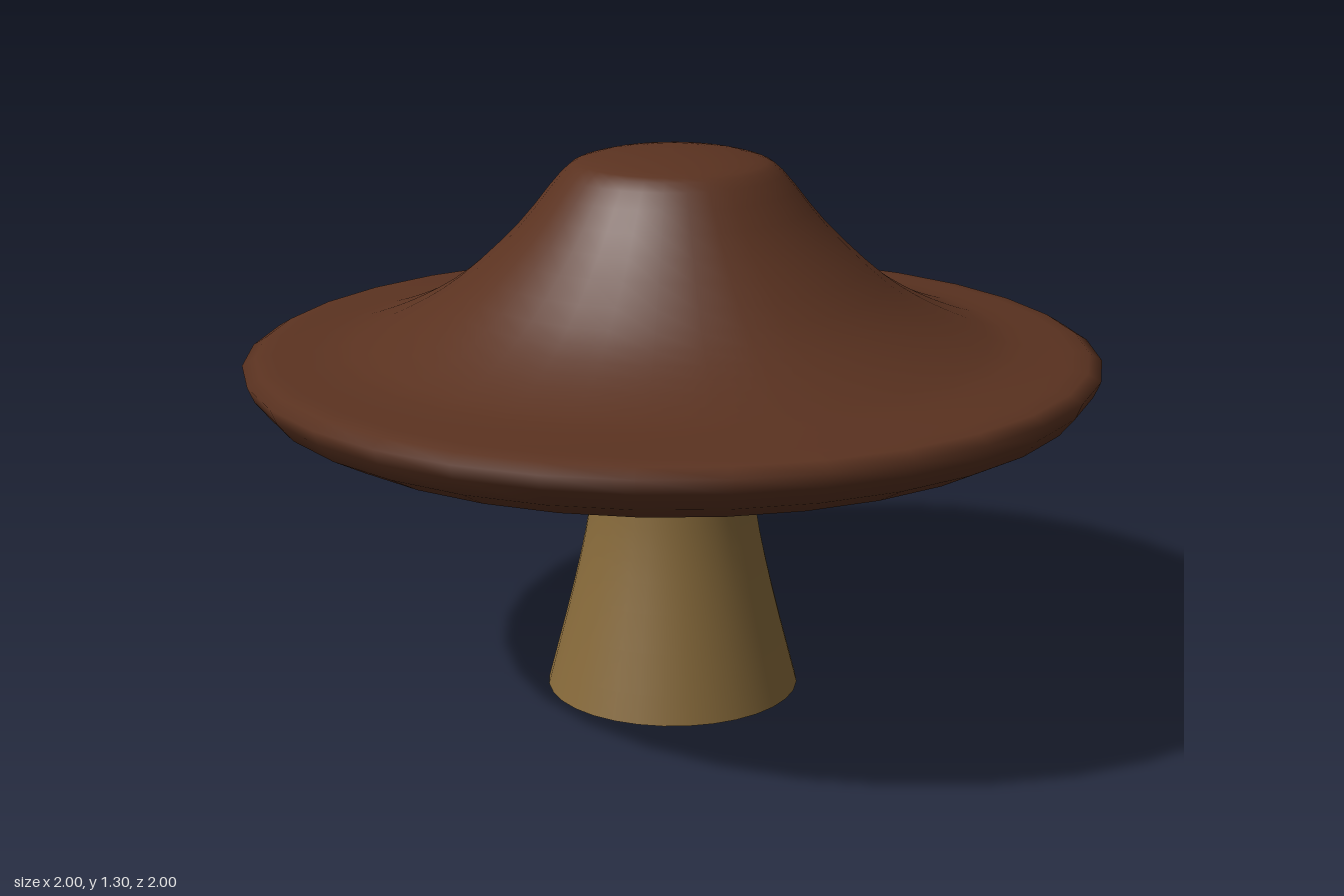
import * as THREE from 'three';

const SEGMENTS = 32;

const toPoints = (pairs) => pairs.map(([r, y]) => new THREE.Vector2(r, y));

// Smooth profile through a few radius/height pairs
const smooth = (pairs, steps) => new THREE.SplineCurve(toPoints(pairs)).getPoints(steps);

function turned(name, profile, color) {
  const material = new THREE.MeshStandardMaterial({ color, side: THREE.DoubleSide });
  const mesh = new THREE.Mesh(new THREE.LatheGeometry(profile, SEGMENTS), material);
  mesh.name = name;
  return mesh;
}

export function createModel() {
  const group = new THREE.Group();
  group.name = 'mushroom';

  // Flared stem, open at the foot, running up into the hollow of the cap
  const stem = smooth([[0.302, 0], [0.238, 0.25], [0.198, 0.45], [0.177, 0.68], [0.167, 0.9]], 12);
  group.add(turned('stem', stem, 0x86693a));

  // Cap: hollow underside, rounded rim, then the bell-shaped top
  const underside = toPoints([
    [0, 0.89], [0.17, 0.88], [0.4, 0.855], [0.55, 0.815], [0.68, 0.75], [0.72, 0.715], [0.755, 0.69],
  ]);
  const rim = toPoints([
    [0.8, 0.685], [0.87, 0.7], [0.95, 0.742], [0.985, 0.785], [1, 0.82], [0.97, 0.838],
  ]);
  const top = smooth([
    [0.93, 0.843], [0.82, 0.853], [0.74, 0.87], [0.62, 0.92], [0.5, 0.995], [0.36, 1.125],
    [0.257, 1.25], [0.2, 1.283], [0.1, 1.3], [0, 1.305],
  ], 27);
  top[top.length - 1].x = 0;
  group.add(turned('cap', [...underside, ...rim, ...top], 0x5a3220));

  return group;
}
